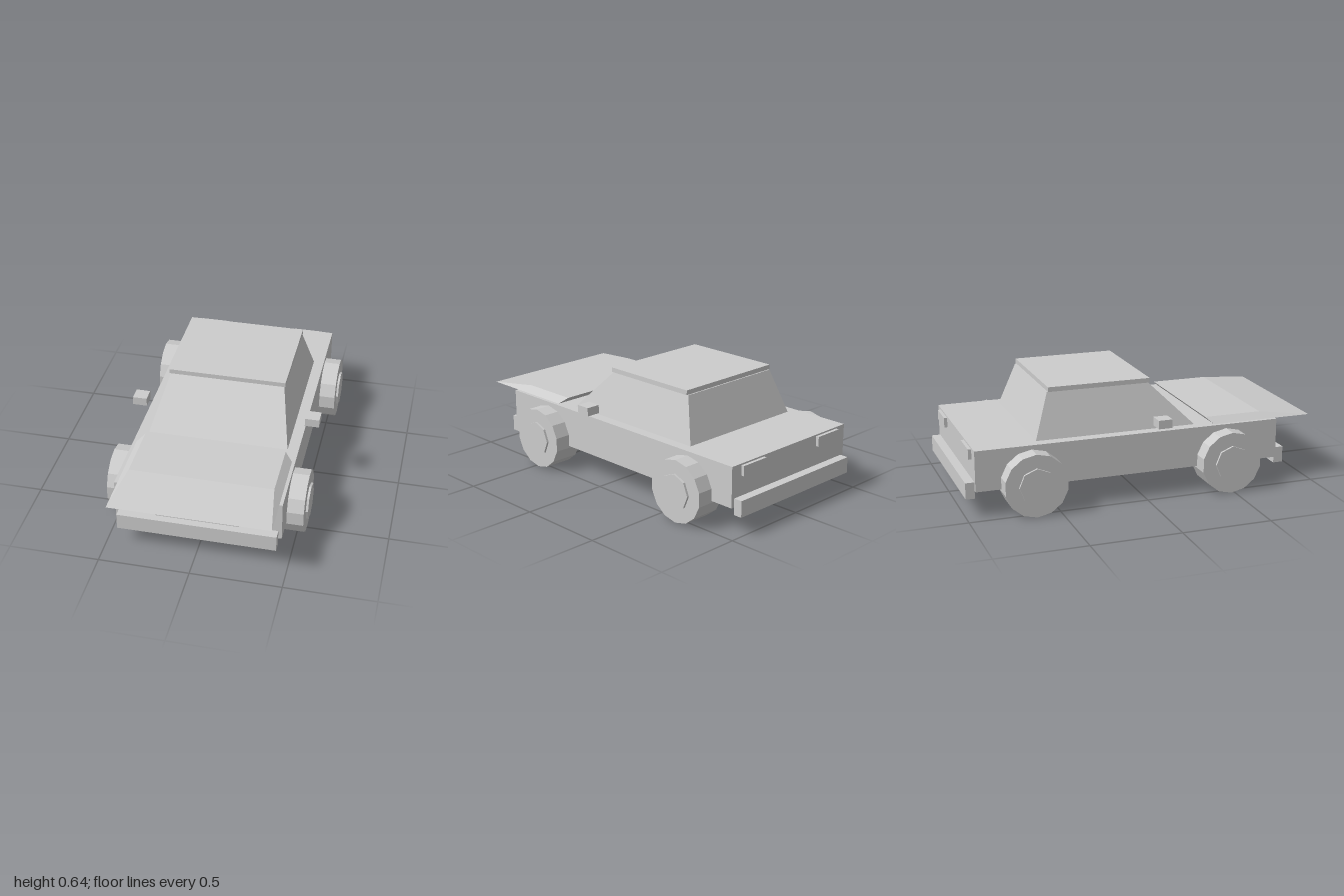
import * as THREE from 'three';

export function createModel() {
  const car = new THREE.Group();
  car.name = 'car';
  const grey = new THREE.MeshStandardMaterial({ color: 0xcccccc, flatShading: true });
  grey.name = 'plain grey';

  const add = (name, geometry) => {
    const mesh = new THREE.Mesh(geometry, grey);
    mesh.name = name;
    car.add(mesh);
    return mesh;
  };

  // Block given by its limits on each axis
  const block = (name, x0, x1, y0, y1, z0, z1) =>
    add(name, new THREE.BoxGeometry(x1 - x0, y1 - y0, z1 - z0)
      .translate((x0 + x1) / 2, (y0 + y1) / 2, (z0 + z1) / 2));

  // Tapered block: bottom and top are { y, x: half width, back, front }
  const taper = (name, bottom, top) => {
    const geometry = new THREE.BoxGeometry(1, 1, 1);
    const p = geometry.attributes.position;
    for (let i = 0; i < p.count; i++) {
      const r = p.getY(i) > 0 ? top : bottom;
      p.setXYZ(i, Math.sign(p.getX(i)) * r.x, r.y, p.getZ(i) > 0 ? r.front : r.back);
    }
    geometry.computeVertexNormals();
    return add(name, geometry);
  };

  // Body, cabin, roof and overhanging bonnet
  block('body', -0.455, 0.455, 0.147, 0.373, -0.95, 0.79);
  taper('cabin',
    { y: 0.373, x: 0.394, back: -0.6, front: 0.312 },
    { y: 0.618, x: 0.325, back: -0.515, front: 0.063 });
  block('roof', -0.332, 0.332, 0.619, 0.645, -0.51, 0.07);
  taper('bonnet',
    { y: 0.374, x: 0.437, back: 0.415, front: 1.0 },
    { y: 0.408, x: 0.395, back: 0.378, front: 0.71 });

  // Bumpers and grille
  block('frontBumper', -0.436, 0.436, 0.106, 0.197, 0.79, 0.845);
  block('rearBumper', -0.436, 0.436, 0.106, 0.197, -1.0, -0.95);
  block('grille', -0.228, 0.228, 0.209, 0.31, 0.79, 0.817);

  // Wheel with a vertex at the top, lying along x
  const axleCylinder = (radius, width, sides) =>
    new THREE.CylinderGeometry(radius, radius, width, sides)
      .rotateY(Math.PI / 2).rotateZ(Math.PI / 2);

  for (const [side, s] of [['left', 1], ['right', -1]]) {
    const mirrored = (name, x0, x1, ...rest) =>
      block(side + name, Math.min(s * x0, s * x1), Math.max(s * x0, s * x1), ...rest);

    // Lamps and door mirrors
    mirrored('Headlight', 0.21, 0.386, 0.31, 0.358, 0.79, 0.81);
    mirrored('TailLight', 0.213, 0.386, 0.308, 0.364, -0.968, -0.95);
    mirrored('Mirror', 0.457, 0.538, 0.413, 0.461, 0.045, 0.125);

    // Tyres, with hubs standing out on both faces
    for (const [end, z] of [['Front', 0.48], ['Rear', -0.64]]) {
      add(side + end + 'Tyre', axleCylinder(0.175, 0.166, 14)).position.set(s * 0.464, 0.175, z);
      add(side + end + 'Hub', axleCylinder(0.099, 0.187, 8)).position.set(s * 0.466, 0.176, z);
    }
  }
  return car;
}
